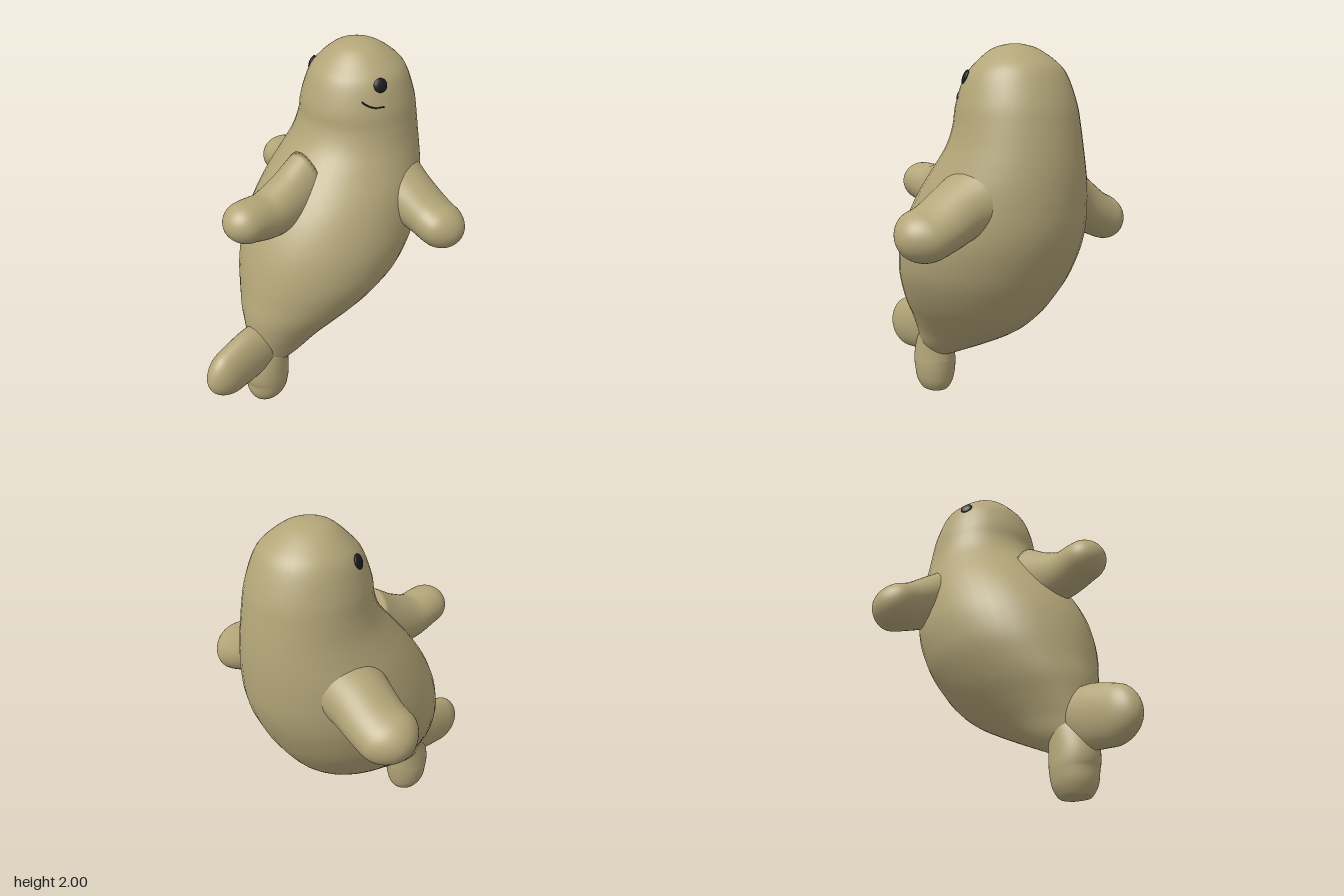
import * as THREE from 'three';

const SIDES = 40;

// Skin a list of elliptical rings {c, u, v}, closed at both ends
function loft(rings) {
  const pos = [], index = [], p = new THREE.Vector3();
  for (const { c, u, v } of rings) {
    for (let j = 0; j < SIDES; j++) {
      const a = (j / SIDES) * Math.PI * 2;
      p.copy(c).addScaledVector(u, Math.cos(a)).addScaledVector(v, Math.sin(a));
      pos.push(p.x, Math.max(0, p.y), p.z);
    }
  }
  const n = rings.length, first = n * SIDES, last = first + 1;
  for (const r of [rings[0], rings[n - 1]]) pos.push(r.c.x, Math.max(0, r.c.y), r.c.z);
  for (let j = 0; j < SIDES; j++) {
    const k = (j + 1) % SIDES;
    for (let i = 0; i < n - 1; i++) {
      const a = i * SIDES + j, b = i * SIDES + k;
      index.push(a, b, b + SIDES, a, b + SIDES, a + SIDES);
    }
    index.push(first, k, j, last, (n - 1) * SIDES + j, (n - 1) * SIDES + k);
  }
  const g = new THREE.BufferGeometry();
  g.setAttribute('position', new THREE.Float32BufferAttribute(pos, 3));
  g.setIndex(index);
  g.computeVertexNormals();
  return g;
}

// Body slices: height, front z, back z, half width
const SLICES = [
  [0.22, 0.30, 0.26, 0.004], [0.24, 0.36, 0.20, 0.05], [0.3, 0.42, 0.06, 0.11],
  [0.4, 0.435, -0.165, 0.17], [0.5, 0.435, -0.36, 0.245], [0.6, 0.43, -0.485, 0.32],
  [0.7, 0.41, -0.565, 0.38], [0.8, 0.39, -0.63, 0.425], [0.9, 0.365, -0.68, 0.447],
  [1.0, 0.33, -0.72, 0.455], [1.1, 0.28, -0.745, 0.447], [1.2, 0.215, -0.755, 0.43],
  [1.3, 0.135, -0.758, 0.405], [1.4, 0.05, -0.755, 0.37], [1.5, -0.03, -0.745, 0.338],
  [1.6, -0.073, -0.73, 0.318], [1.7, -0.085, -0.71, 0.302], [1.83, -0.13, -0.66, 0.262],
  [1.9, -0.185, -0.61, 0.212], [1.97, -0.26, -0.51, 0.125], [1.995, -0.33, -0.435, 0.052],
  [2.0, -0.378, -0.386, 0.004],
];
const curveOf = (k) => new THREE.CatmullRomCurve3(
  SLICES.map((s) => new THREE.Vector3(s[3], s[0], s[k])), false, 'catmullrom');
const frontEdge = curveOf(1), backEdge = curveOf(2);

function slice(t) {
  const f = frontEdge.getPoint(t), b = backEdge.getPoint(t);
  return { y: f.y, c: (f.z + b.z) / 2, hz: (f.z - b.z) / 2, hw: f.x };
}

// Point on the model's left flank at a given height and depth
function flank(y, z) {
  let lo = 0, hi = 1;
  for (let i = 0; i < 24; i++) {
    const m = (lo + hi) / 2;
    if (slice(m).y < y) lo = m; else hi = m;
  }
  const s = slice(lo);
  return new THREE.Vector3(s.hw * Math.sqrt(Math.max(0, 1 - ((z - s.c) / s.hz) ** 2)), y, z);
}

function bodyGeometry() {
  const rings = [];
  for (let i = 0; i <= 88; i++) {
    const s = slice(i / 88);
    rings.push({
      c: new THREE.Vector3(0, s.y, s.c),
      u: new THREE.Vector3(0, 0, s.hz),
      v: new THREE.Vector3(s.hw, 0, 0),
    });
  }
  return loft(rings);
}

// Round-ended flipper; stations are [x, y, z, half width along side, half thickness]
function flipperGeometry(stations, side, cap) {
  const spine = new THREE.CatmullRomCurve3(
    stations.map((s) => new THREE.Vector3(s[0], s[1], s[2])), false, 'catmullrom');
  const radii = new THREE.CatmullRomCurve3(
    stations.map((s) => new THREE.Vector3(s[3], s[4], 0)), false, 'catmullrom');
  const tip = spine.getPoint(1), rings = [], steps = 36;
  for (let i = 0; i <= steps; i++) {
    const t = Math.sin((i / steps) * Math.PI / 2); // denser towards the tip
    const c = spine.getPoint(t), T = spine.getTangent(t), r = radii.getPoint(t);
    const into = Math.max(0, 1 - c.distanceTo(tip) / cap);
    const k = Math.max(0.01, Math.sqrt(1 - into * into));
    const N = T.clone().cross(side).normalize();
    const U = N.clone().cross(T).normalize();
    rings.push({ c, u: U.multiplyScalar(r.x * k), v: N.multiplyScalar(r.y * k) });
  }
  return loft(rings);
}

export function createModel() {
  const model = new THREE.Group();
  model.name = 'seal';
  const skin = new THREE.MeshStandardMaterial({ color: 0xb4a679 });
  skin.name = 'sandy skin';
  const dark = new THREE.MeshStandardMaterial({ color: 0x1b1b1f });
  dark.name = 'black';

  const add = (name, geometry, material) => {
    const mesh = new THREE.Mesh(geometry, material);
    mesh.name = name;
    model.add(mesh);
    return mesh;
  };

  add('body', bodyGeometry(), skin);

  const across = new THREE.Vector3(1, 0, 0);
  add('frontFlipper', flipperGeometry([
    [0, 1.28, 0, 0.13, 0.22], [0, 1.25, 0.15, 0.125, 0.165], [0, 1.23, 0.3, 0.12, 0.13],
    [0, 1.25, 0.43, 0.118, 0.113], [0, 1.26, 0.565, 0.11, 0.1],
  ], across, 0.11), skin);

  // Two tail lobes
  add('frontTailLobe', flipperGeometry([
    [0, 0.42, 0.3, 0.1, 0.13], [0, 0.38, 0.45, 0.095, 0.165],
    [0, 0.35, 0.6, 0.09, 0.155], [0, 0.31, 0.76, 0.085, 0.13],
  ], across, 0.14), skin);
  add('lowerTailLobe', flipperGeometry([
    [0, 0.4, 0.3, 0.1, 0.1], [0, 0.22, 0.335, 0.115, 0.138],
    [0, 0.12, 0.335, 0.115, 0.13], [0, -0.04, 0.35, 0.085, 0.11],
  ], across, 0.12), skin);

  // Side flippers and eyes, mirrored
  for (const [s, label] of [[1, 'left'], [-1, 'right']]) {
    add(label + 'Flipper', flipperGeometry([
      [0.2 * s, 1.26, -0.42, 0.22, 0.2], [0.36 * s, 1.2, -0.42, 0.175, 0.15],
      [0.5 * s, 1.13, -0.43, 0.16, 0.125], [0.6 * s, 1.09, -0.43, 0.155, 0.12],
      [0.72 * s, 1.06, -0.44, 0.13, 0.12],
    ], new THREE.Vector3(0, 0.33, 0.94), 0.13), skin);

    const eye = add(label + 'Eye', new THREE.SphereGeometry(0.037, 20, 14), dark);
    eye.position.copy(flank(1.835, -0.29));
    eye.position.x *= s;
    eye.scale.z = 0.35;
    eye.quaternion.setFromUnitVectors(
      new THREE.Vector3(0, 0, 1), new THREE.Vector3(0.83 * s, 0.35, 0.42).normalize());
  }

  // Thin smile on the left cheek
  const smile = [[1.765, -0.19], [1.745, -0.21], [1.732, -0.24], [1.73, -0.285]]
    .map(([y, z]) => flank(y, z));
  add('mouth', new THREE.TubeGeometry(new THREE.CatmullRomCurve3(smile), 20, 0.004, 6), dark);

  return model;
}
